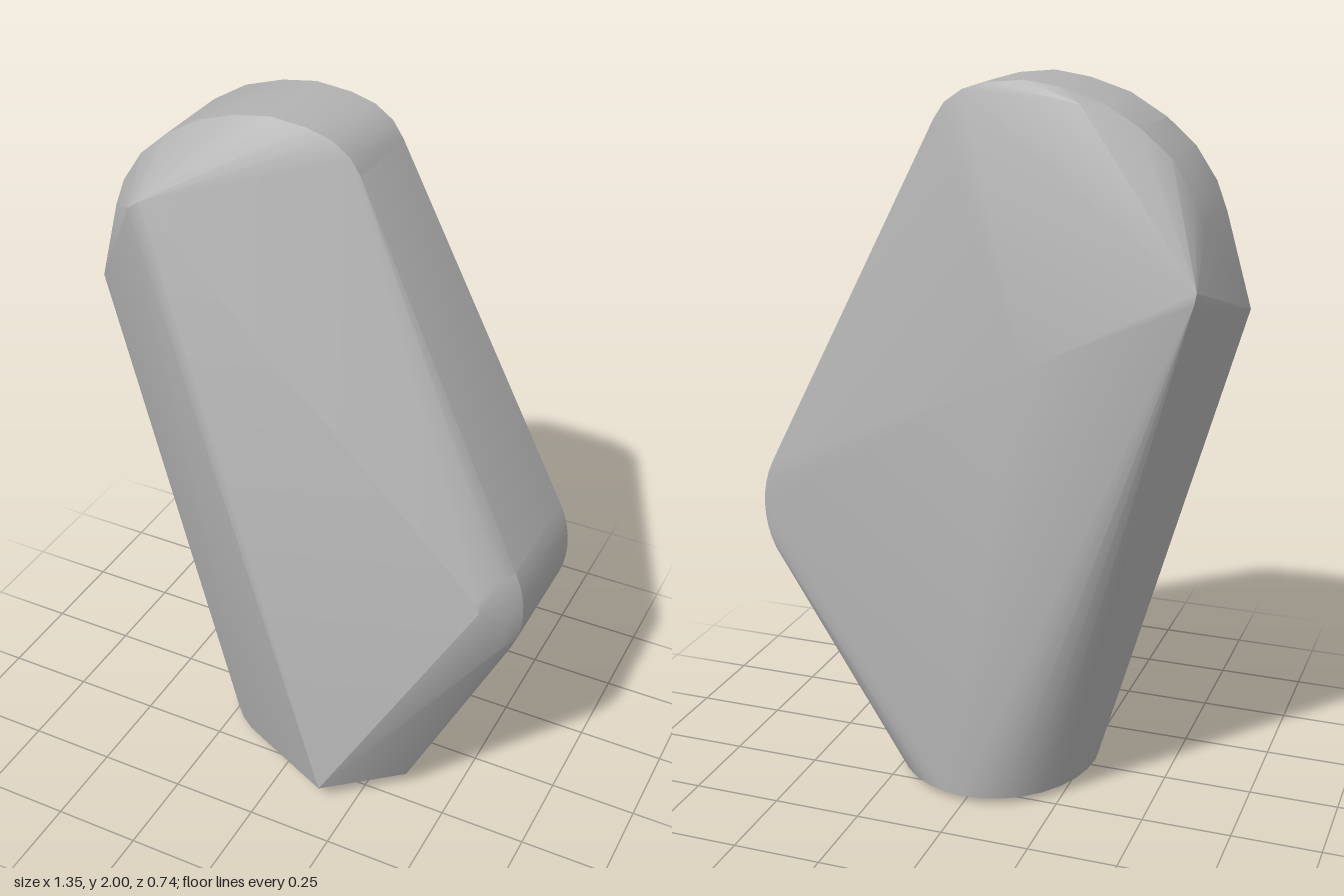
import * as THREE from 'three';
import { ConvexGeometry } from 'three/addons/geometries/ConvexGeometry.js';
import { toCreasedNormals } from 'three/addons/utils/BufferGeometryUtils.js';

export function createModel() {
  const group = new THREE.Group();
  group.name = 'leaningStone';
  const grey = new THREE.MeshStandardMaterial({ color: 0xb3b3b3 });
  grey.name = 'stoneGrey';

  const points = [];
  const add = (x, y, z) => points.push(new THREE.Vector3(x, y, z));

  // rounded crown, a band with a front and a back rim
  const crown = [
    [-0.6, 1.65], [-0.57, 1.73], [-0.51, 1.82], [-0.43, 1.89], [-0.33, 1.95], [-0.22, 1.985],
    [-0.12, 2], [-0.02, 1.99], [0.05, 1.97], [0.1, 1.935], [0.13, 1.89],
  ];
  for (const [x, y] of crown) {
    add(x, y, 0.08);
    add(x, y, -0.17);
  }
  add(-0.28, 1.95, -0.21);

  // rounded elbow on the side
  for (let i = 0; i <= 8; i++) {
    const a = -0.5 + i / 8;
    const x = 0.47 + 0.2 * Math.cos(a * 1.1), y = 0.76 + 0.25 * Math.sin(a * 1.1);
    add(x, y, -0.17);
    add(x, y, 0.17);
    add(x - 0.025, y, 0.21);
  }
  add(0.58, 0.8, 0.265);
  add(0.57, 0.83, 0.26);

  // front corners
  add(-0.45, 1.75, 0.25);
  add(-0.415, 1.775, 0.25);
  add(0.155, 0.05, 0.37);
  add(0.36, 0.05, 0.2);

  // shoulder and back corners
  add(-0.68, 1.4, 0.05);
  add(-0.63, 1.53, -0.365);
  add(-0.625, 1.5, -0.368);
  add(-0.19, 1.3, -0.37);

  // slightly domed oval foot
  for (let i = 0; i < 32; i++) {
    const a = (i / 32) * Math.PI * 2;
    const c = Math.cos(a), s = Math.sin(a);
    add(0.29 * c, 0.02, (s > 0 ? 0.25 : 0.33) * s);
    add(0.14 * c, 0.003, 0.15 * s);
  }
  add(0, 0, 0);

  const stone = new THREE.Mesh(toCreasedNormals(new ConvexGeometry(points), 0.5), grey);
  stone.name = 'stone';
  group.add(stone);
  return group;
}
